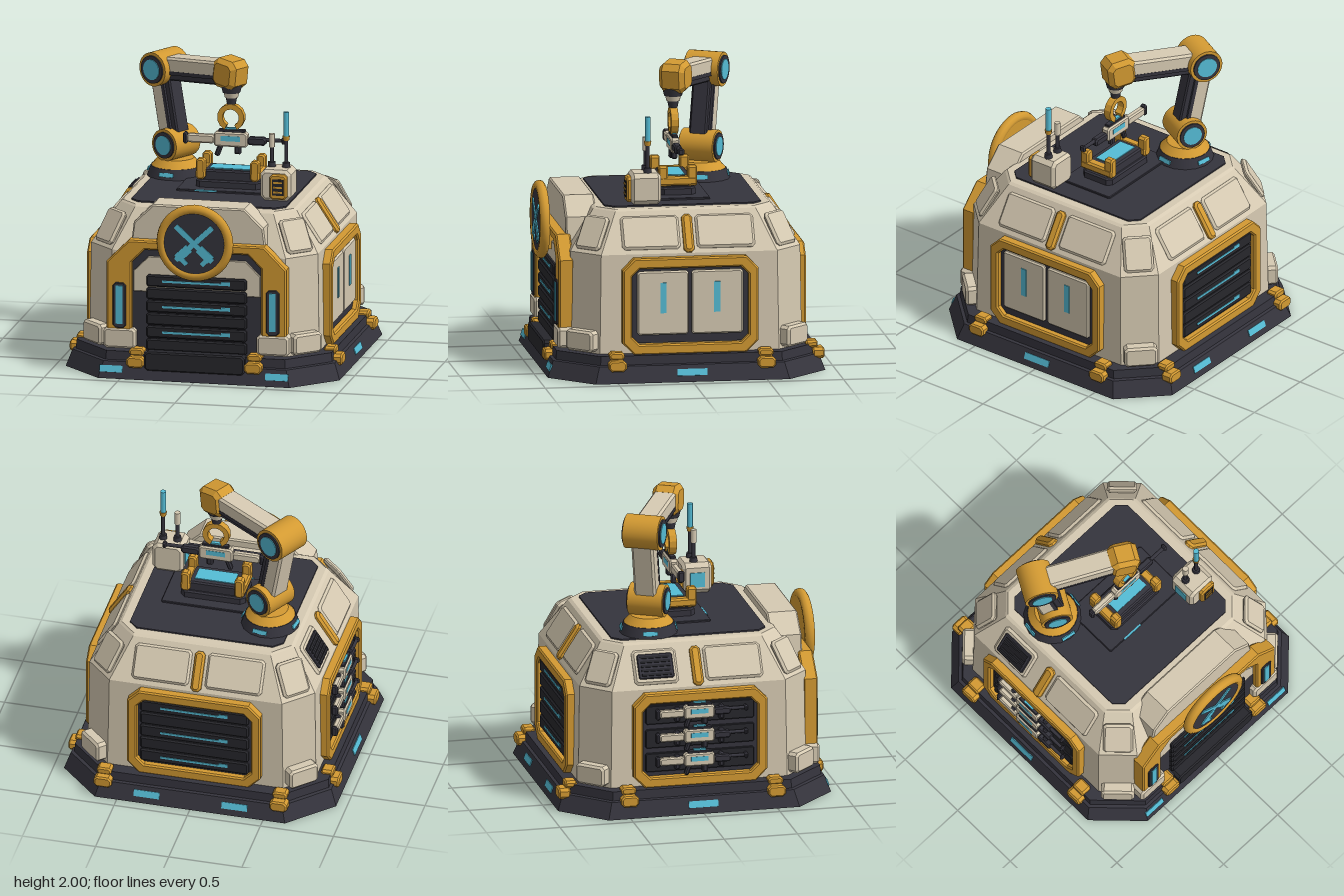
import * as THREE from 'three';

const mat = (name, color) => Object.assign(new THREE.MeshStandardMaterial({ color }), { name });
const cream = mat('cream panel', 0xd6cab2);
const gold = mat('gold trim', 0xd39a32);
const dark = mat('dark metal', 0x35343d);
const black = mat('black metal', 0x27272c);
const cyan = mat('cyan light', 0x55bdd6);

const HALF = Math.PI / 2;
const TILT = Math.atan2(0.17, 0.26); // lean of the sloping roof faces

function add(parent, name, geo, material, pos = [0, 0, 0], rot = [0, 0, 0]) {
  const m = new THREE.Mesh(geo, material);
  m.name = name;
  m.position.set(...pos);
  m.rotation.set(...rot);
  parent.add(m);
  return m;
}

function group(parent, name, pos = [0, 0, 0], ry = 0) {
  const g = new THREE.Group();
  g.name = name;
  g.position.set(...pos);
  g.rotation.y = ry;
  parent.add(g);
  return g;
}

const poly = (pts) => pts.map(([x, y]) => new THREE.Vector2(x, y));

// Corner points of a rectangle with cut corners
function cutRect(w, h, c) {
  const x = w / 2, y = h / 2;
  return poly([[-x + c, -y], [x - c, -y], [x, -y + c], [x, y - c], [x - c, y], [-x + c, y], [-x, y - c], [-x, -y + c]]);
}

// Extrusion with one bevel step, centred in depth
function slab(shape, d, b) {
  const g = new THREE.ExtrudeGeometry(shape, { depth: d - 2 * b, bevelEnabled: b > 0, bevelSize: b, bevelThickness: b, bevelOffset: -b, bevelSegments: 1 });
  return g.translate(0, 0, b - d / 2);
}
const block = (w, h, d, c = 0.015, b = 0.01) => slab(new THREE.Shape(cutRect(w, h, c)), d, b);
const box = (w, h, d) => new THREE.BoxGeometry(w, h, d);
const cyl = (r1, r2, h, n = 24) => new THREE.CylinderGeometry(r1, r2, h, n);

// Stack of eight-sided rings [half width, corner cut, y], capped at both ends
function octStack(rings) {
  const rows = rings.map(([s, c, y]) => [[s, s - c], [s - c, s], [c - s, s], [-s, s - c], [-s, c - s], [c - s, -s], [s - c, -s], [s, c - s]]
    .map(([x, z]) => [x, y, z]));
  const v = [], tri = (...p) => p.forEach((q) => v.push(...q));
  for (let r = 0; r < rows.length - 1; r++) for (let i = 0; i < 8; i++) {
    const j = (i + 1) % 8, a = rows[r][i], b = rows[r][j], c = rows[r + 1][j], d = rows[r + 1][i];
    tri(a, c, b); tri(a, d, c);
  }
  const lo = rows[0], hi = rows[rows.length - 1];
  for (let i = 1; i < 7; i++) { tri(lo[0], lo[i], lo[i + 1]); tri(hi[0], hi[i + 1], hi[i]); }
  const g = new THREE.BufferGeometry();
  g.setAttribute('position', new THREE.Float32BufferAttribute(v, 3));
  g.computeVertexNormals();
  return g;
}

// Hand-held tool, pointing along +x
function tool(parent, pos, scale, name) {
  const g = group(parent, name, pos);
  g.scale.setScalar(scale);
  add(g, 'toolButt', block(0.03, 0.08, 0.045, 0.01), dark, [-0.325, 0, 0]);
  add(g, 'toolStock', block(0.19, 0.06, 0.045), cream, [-0.22, 0, 0]);
  add(g, 'toolBody', block(0.23, 0.1, 0.06), cream, [-0.015, 0.005, 0]);
  add(g, 'toolLight', box(0.13, 0.035, 0.064), cyan, [-0.015, 0.012, 0]);
  add(g, 'toolRail', block(0.18, 0.02, 0.04, 0.004, 0.004), dark, [-0.01, 0.062, 0]);
  add(g, 'toolSight', box(0.09, 0.012, 0.025), cyan, [-0.01, 0.077, 0]);
  add(g, 'toolForeEnd', block(0.13, 0.055, 0.05), dark, [0.16, 0, 0]);
  add(g, 'toolBarrel', cyl(0.013, 0.013, 0.13, 10), dark, [0.28, 0.01, 0], [0, 0, HALF]);
  add(g, 'toolTip', block(0.025, 0.045, 0.045, 0.008), dark, [0.34, 0.01, 0]);
  add(g, 'toolGrip', block(0.035, 0.08, 0.035, 0.008), dark, [-0.1, -0.075, 0], [0, 0, -0.35]);
  add(g, 'toolMagazine', block(0.045, 0.06, 0.04, 0.008), dark, [0.03, -0.065, 0]);
}

// Horizontal shutter slats with a light on every second one
function shutter(parent, width, ys, h, z) {
  ys.forEach((y, i) => {
    add(parent, 'shutterSlat', block(width, h, 0.035, 0.012), black, [0, y, z]);
    if (i % 2) return;
    add(parent, 'slatLight', box(0.46, 0.014, 0.008), cyan, [0, y, z + 0.018]);
    add(parent, 'slatLightEnd', box(0.06, 0.024, 0.008), cyan, [0.2, y + 0.006, z + 0.018]);
  });
}

function baseFittings(side, clamps, lights, lw) {
  for (const x of clamps) {
    add(side, 'baseClamp', block(0.12, 0.075, 0.08, 0.02), gold, [x, 0.115, 0.885]);
    add(side, 'baseClampTop', block(0.1, 0.05, 0.08, 0.015), gold, [x, 0.175, 0.84]);
  }
  for (const x of lights) add(side, 'baseLight', box(lw, 0.045, 0.009), cyan, [x, 0.062, 0.909], [-0.35, 0, 0]);
}

function roofPanel(side, x, w, z = 0.685) {
  return add(side, 'roofPanel', block(w, 0.24, 0.04, 0.02, 0.015), cream, [x, 0.965, z], [-TILT, 0, 0]);
}

// Framed wall shared by the two sides and the back
function wall(root, name, angle) {
  const s = group(root, name, [0, 0, 0], angle);
  const ring = new THREE.Shape(cutRect(0.91, 0.65, 0.08));
  ring.holes.push(new THREE.Path(cutRect(0.78, 0.51, 0.05).reverse()));
  add(s, 'wallFrame', slab(ring, 0.08, 0.01), gold, [0, 0.495, 0.79]);
  add(s, 'wallRecess', box(0.8, 0.52, 0.03), dark, [0, 0.505, 0.777]);
  add(s, 'roofRib', block(0.07, 0.27, 0.06, 0.02, 0.015), gold, [0, 0.955, 0.695], [-TILT, 0, 0]);
  return s;
}

function buildFront(root) {
  const f = group(root, 'front');
  const arch = poly([[-0.61, 0.3], [-0.44, 0.3], [-0.44, 0.78], [-0.35, 0.87], [0.35, 0.87], [0.44, 0.78], [0.44, 0.3], [0.61, 0.3], [0.61, 0.78], [0.46, 0.93], [-0.46, 0.93], [-0.61, 0.78]]);
  add(f, 'doorArch', slab(new THREE.Shape(arch), 0.1, 0.01), gold, [0, 0, 0.8]);
  add(f, 'doorBack', slab(new THREE.Shape(poly([[-0.45, 0.17], [0.45, 0.17], [0.45, 0.78], [0.36, 0.88], [-0.36, 0.88], [-0.45, 0.78]])), 0.06, 0), dark, [0, 0, 0.78]);
  add(f, 'doorPanel', slab(new THREE.Shape(poly([[-0.43, 0.58], [0.43, 0.58], [0.43, 0.72], [0.33, 0.82], [-0.33, 0.82], [-0.43, 0.72]])), 0.02, 0.004), cream, [0, 0, 0.815]);
  shutter(f, 0.68, [0.66, 0.573, 0.486, 0.399, 0.312, 0.225], 0.08, 0.83);
  add(f, 'doorStep', block(0.68, 0.13, 0.1, 0.02), black, [0, 0.125, 0.865]);
  const hood = poly([[-0.46, 0.88], [0.46, 0.88], [0.44, 1.04], [0.31, 1.165], [-0.31, 1.165], [-0.44, 1.04]]);
  add(f, 'hood', slab(new THREE.Shape(hood), 0.21, 0.01), cream, [0, 0, 0.675]);
  for (const s of [-1, 1]) {
    add(f, 'archLightHousing', block(0.09, 0.31, 0.02, 0.02, 0.005), dark, [s * 0.52, 0.485, 0.85]);
    add(f, 'archLight', box(0.045, 0.26, 0.008), cyan, [s * 0.52, 0.49, 0.862]);
    add(f, 'archFoot', block(0.22, 0.14, 0.14, 0.02, 0.015), cream, [s * 0.52, 0.26, 0.79]);
  }
  // Round badge with crossed tools
  const b = group(f, 'roundBadge', [0, 0.945, 0.885]);
  add(b, 'badgeMount', box(0.24, 0.16, 0.08), gold, [0, -0.1, -0.04]);
  add(b, 'badgeBody', cyl(0.235, 0.235, 0.05, 40), gold, [0, 0, -0.005], [HALF, 0, 0]);
  add(b, 'badgeRim', new THREE.TorusGeometry(0.226, 0.035, 10, 40), gold);
  add(b, 'badgeFace', cyl(0.205, 0.205, 0.02, 40), dark, [0, 0, 0.016], [HALF, 0, 0]);
  for (const s of [-1, 1]) {
    const t = group(b, 'crossedBar', [0, 0, 0.03]);
    t.rotation.z = s * 0.82;
    add(t, 'barShaft', box(0.035, 0.34, 0.008), cyan, [0, 0, 0]);
    add(t, 'barHead', box(0.06, 0.11, 0.008), cyan, [0, -0.1, 0]);
    add(t, 'barHook', box(0.06, 0.03, 0.008), cyan, [s * -0.04, -0.135, 0]);
  }
  baseFittings(f, [-0.4, 0.4], [-0.565, 0.56], 0.155);
}

function buildWalls(root) {
  const left = wall(root, 'leftWall', HALF);
  for (const s of [-1, 1]) {
    add(left, 'lockerDoor', block(0.345, 0.43, 0.03, 0.015), cream, [s * 0.182, 0.515, 0.8]);
    add(left, 'lockerLight', box(0.042, 0.205, 0.008), cyan, [s * 0.18, 0.55, 0.817]);
    roofPanel(left, s * 0.25, 0.39);
  }
  baseFittings(left, [-0.5, 0.5], [0], 0.2);

  const back = wall(root, 'backWall', Math.PI);
  shutter(back, 0.74, [0.7, 0.602, 0.504, 0.406, 0.308], 0.09, 0.798);
  for (const s of [-1, 1]) roofPanel(back, s * 0.25, 0.39);
  baseFittings(back, [-0.6, 0.6], [-0.3, 0.3], 0.175);

  const right = wall(root, 'rightWall', -HALF);
  for (const y of [0.34, 0.505, 0.67]) {
    add(right, 'rackRail', block(0.74, 0.13, 0.02, 0.01, 0.005), black, [0, y, 0.797]);
    for (const x of [-0.16, 0.14]) add(right, 'rackHook', block(0.035, 0.1, 0.05, 0.008), dark, [x, y, 0.815]);
    tool(right, [0, y + 0.01, 0.83], 0.9, 'rackTool');
  }
  roofPanel(right, 0.25, 0.39);
  roofPanel(right, -0.28, 0.3);
  const vent = group(right, 'roofVent', [-0.28, 0.965, 0.685]);
  vent.rotation.x = -TILT;
  add(vent, 'ventPlate', block(0.24, 0.17, 0.03, 0.01, 0.005), dark, [0, 0, 0.018]);
  for (let i = -2; i <= 2; i++) add(vent, 'ventSlat', box(0.2, 0.016, 0.012), black, [0, i * 0.03, 0.036]);
  baseFittings(right, [-0.5, 0.5], [0], 0.2);

  // Corner feet and corner roof panels
  for (let i = 0; i < 4; i++) {
    const c = group(root, 'corner', [0, 0, 0], Math.PI / 4 + i * HALF);
    add(c, 'cornerFoot', block(0.22, 0.14, 0.12, 0.02, 0.015), cream, [0, 0.26, 0.985]);
    const p = roofPanel(c, 0, 0.2, 0.885);
    p.rotation.x = -0.53;
  }
}

function buildArm(root) {
  const a = group(root, 'robotArm', [-0.38, 0, -0.25], -0.506);
  add(a, 'armPlinth', cyl(0.17, 0.195, 0.07, 16), dark, [0, 1.155, 0]);
  for (let i = 0; i < 4; i++) {
    const r = group(a, 'plinthLightMount', [0, 1.155, 0], i * HALF + 0.35);
    add(r, 'plinthLight', box(0.1, 0.028, 0.009), cyan, [0, 0, 0.183], [-0.34, 0, 0]);
  }
  add(a, 'armTurntable', cyl(0.12, 0.165, 0.05, 24), gold, [0, 1.215, 0]);
  const joint = (name, x, y, r) => {
    add(a, name, cyl(r, r, 0.24, 28), gold, [x, y, 0], [HALF, 0, 0]);
    for (const s of [-1, 1]) {
      add(a, name + 'Cap', cyl(r * 0.82, r * 0.82, 0.02, 28), dark, [x, y, s * 0.12], [HALF, 0, 0]);
      add(a, name + 'Light', cyl(r * 0.6, r * 0.6, 0.02, 28), cyan, [x, y, s * 0.125], [HALF, 0, 0]);
    }
  };
  joint('shoulderJoint', 0, 1.34, 0.108);
  joint('elbowJoint', -0.105, 1.84, 0.115);
  // Arm beams: cream outer shell with a dark inner side
  const beam = (name, x0, y0, x1, y1) => {
    const g = group(a, name, [(x0 + x1) / 2, (y0 + y1) / 2, 0]);
    g.rotation.z = Math.atan2(y1 - y0, x1 - x0);
    const len = Math.hypot(x1 - x0, y1 - y0);
    add(g, 'beamShell', block(len, 0.11, 0.15, 0.015, 0.015), cream, [0, 0.025, 0]);
    add(g, 'beamCore', block(len, 0.06, 0.12, 0.01), dark, [0, -0.05, 0]);
    add(g, 'beamStripe', box(len, 0.025, 0.154), dark, [0, -0.025, 0]);
  };
  beam('lowerArm', 0, 1.34, -0.105, 1.84);
  beam('upperArm', -0.105, 1.84, 0.46, 1.89);
  add(a, 'wristHead', block(0.2, 0.2, 0.18, 0.04, 0.03), gold, [0.48, 1.893, 0], [0, 0, -0.12]);
  // Wrist and claw
  const w = group(root, 'wrist', [0.05, 0, 0]);
  add(w, 'wristCollar', cyl(0.075, 0.06, 0.06, 12), dark, [0, 1.795, 0]);
  add(w, 'wristSleeve', cyl(0.055, 0.045, 0.04, 12), cream, [0, 1.75, 0]);
  add(w, 'wristNeck', cyl(0.04, 0.03, 0.05, 12), dark, [0, 1.71, 0]);
  const claw = new THREE.Shape();
  claw.absarc(0, 0, 0.092, -1.1, Math.PI + 1.1, false);
  claw.absarc(0, 0, 0.056, Math.PI + 1.1, -1.1, true);
  const clawGeo = new THREE.ExtrudeGeometry(claw, { depth: 0.05, bevelEnabled: false, curveSegments: 6 }).translate(0, 0, -0.025);
  add(w, 'claw', clawGeo, gold, [0, 1.595, 0]);
  tool(root, [0.065, 1.44, 0], 1, 'heldTool');
}

function buildRoof(root) {
  add(root, 'roofDeck', octStack([[0.525, 0.06, 1.1], [0.525, 0.06, 1.122]]), dark);
  add(root, 'deckPad', block(0.66, 0.4, 0.02, 0.01, 0.004), dark, [0.05, 1.125, 0], [-HALF, 0, 0]);
  add(root, 'deckLight', box(0.15, 0.009, 0.012), cyan, [-0.08, 1.132, 0.2]);
  // Cradle with paired clamps
  add(root, 'cradleBase', block(0.44, 0.24, 0.06, 0.03), dark, [0.05, 1.155, 0], [-HALF, 0, 0]);
  add(root, 'cradleBlock', block(0.38, 0.09, 0.2, 0.02), dark, [0.05, 1.205, 0]);
  add(root, 'cradleLight', box(0.27, 0.009, 0.12), cyan, [0.05, 1.252, 0]);
  for (const x of [-0.133, 0.235]) {
    add(root, 'clampBar', block(0.065, 0.06, 0.26, 0.012), gold, [x, 1.225, 0]);
    for (const s of [-1, 1]) add(root, 'clampPost', block(0.06, 0.14, 0.065, 0.015), gold, [x, 1.26, s * 0.098]);
  }
  // Antenna box
  const b = group(root, 'antennaBox', [0.425, 0, 0.25]);
  add(b, 'antennaHousing', block(0.21, 0.21, 0.2, 0.03, 0.02), cream, [0, 1.228, 0]);
  add(b, 'housingLight', box(0.008, 0.1, 0.1), cyan, [-0.107, 1.22, 0]);
  add(b, 'housingGrille', block(0.12, 0.17, 0.04, 0.02), gold, [0.025, 1.225, 0.11]);
  add(b, 'grilleInset', box(0.075, 0.11, 0.008), black, [0.025, 1.225, 0.13]);
  for (let i = -1; i <= 1; i++) add(b, 'grilleBar', box(0.06, 0.012, 0.008), gold, [0.025, 1.225 + i * 0.033, 0.134]);
  for (const x of [-0.048, 0.05]) add(b, 'antennaFoot', cyl(0.025, 0.028, 0.035, 12), dark, [x, 1.347, -0.015]);
  add(b, 'shortMast', cyl(0.013, 0.013, 0.14, 10), dark, [-0.048, 1.4, -0.015]);
  add(b, 'shortTip', cyl(0.02, 0.02, 0.09, 10), cream, [-0.048, 1.51, -0.015]);
  add(b, 'tallMast', cyl(0.013, 0.013, 0.19, 10), dark, [0.05, 1.43, -0.015]);
  add(b, 'tallCollar', cyl(0.025, 0.02, 0.03, 10), gold, [0.05, 1.53, -0.015]);
  add(b, 'tallTip', cyl(0.019, 0.019, 0.165, 10), cyan, [0.05, 1.625, -0.015]);
}

export function createModel() {
  const root = new THREE.Group();
  root.name = 'workshopBunker';
  add(root, 'baseSkirt', octStack([[0.93, 0.28, 0], [0.89, 0.27, 0.11], [0.87, 0.26, 0.115], [0.865, 0.26, 0.175]]), dark);
  add(root, 'hull', octStack([[0.78, 0.18, 0.17], [0.77, 0.18, 0.84], [0.6, 0.13, 1.1], [0.58, 0.11, 1.112]]), cream);
  buildFront(root);
  buildWalls(root);
  buildRoof(root);
  buildArm(root);
  return root;
}
